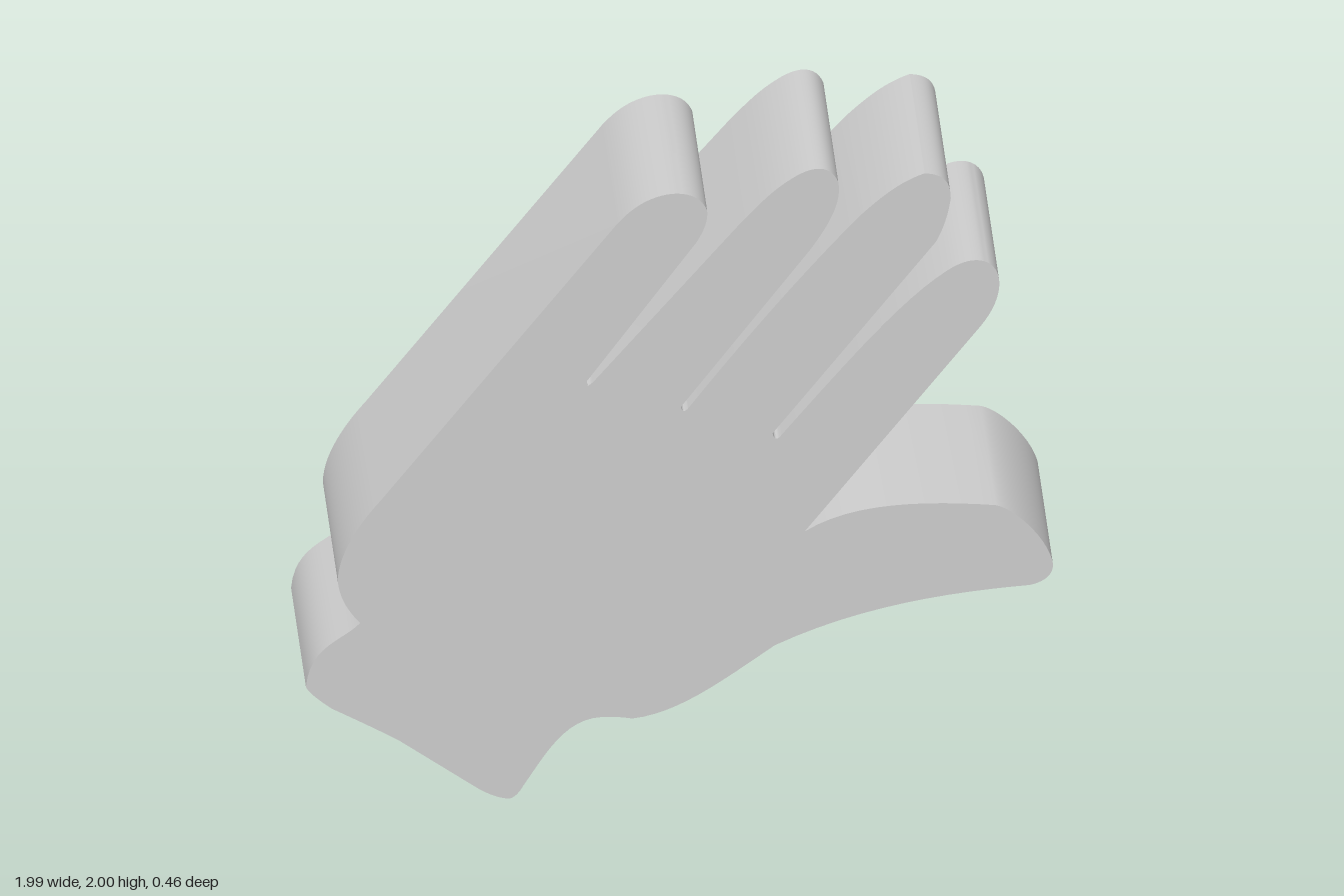
import * as THREE from 'three';
import { toCreasedNormals } from 'three/addons/utils/BufferGeometryUtils.js';

const DEPTH = 0.46;

// Each entry: 2 numbers = straight edge, 4 = quadratic curve, 6 = cubic curve
function trace(start, steps) {
  const shape = new THREE.Shape().moveTo(...start);
  for (const s of steps) {
    if (s.length === 2) shape.lineTo(...s);
    else if (s.length === 4) shape.quadraticCurveTo(...s);
    else shape.bezierCurveTo(...s);
  }
  return shape;
}

export function createModel() {
  const cuffBottom = [
    [-0.44, 0, -0.42, 0.04],
    [-0.36, 0.14, -0.31, 0.25, -0.21, 0.25],
  ];
  const thumb = [
    [-0.17, 0.25, -0.13, 0.24],
    [-0.01, 0.25, 0.1, 0.34, 0.25, 0.455],
    [0.48, 0.57, 0.72, 0.6, 0.93, 0.61],
    [0.98, 0.62, 1.0, 0.65, 0.99, 0.69],
    [0.97, 0.77, 0.89, 0.86, 0.84, 0.875],
    [0.66, 0.9, 0.46, 0.91, 0.33, 0.82],
  ];
  const indexFinger = [
    [0.8, 1.46],
    [0.85, 1.53, 0.86, 1.6, 0.84, 1.64],
    [0.82, 1.68, 0.77, 1.69, 0.71, 1.645],
    [0.59, 1.56, 0.44, 1.36, 0.27, 1.14],
    [0.25, 1.11, 0.245, 1.145],
  ];
  const middleFinger = [
    [0.68, 1.74],
    [0.71, 1.8, 0.72, 1.88],
    [0.72, 1.94, 0.695, 1.96, 0.65, 1.965],
    [0.58, 1.94, 0.53, 1.89, 0.48, 1.84],
    [0.34, 1.68, 0.18, 1.47, 0.02, 1.24],
    [0.005, 1.22, 0.0, 1.245],
  ];
  const ringFinger = [
    [0.345, 1.735],
    [0.4, 1.82, 0.43, 1.89, 0.42, 1.95],
    [0.4, 2.01, 0.35, 2.01, 0.29, 1.965],
    [0.24, 1.93, 0.2, 1.88, 0.165, 1.84],
    [-0.23, 1.345],
    [-0.255, 1.315, -0.25, 1.345],
  ];
  const littleFinger = [
    [0.04, 1.775],
    [0.075, 1.835, 0.07, 1.88],
    [0.05, 1.94, -0.01, 1.945, -0.05, 1.935],
    [-0.11, 1.92, -0.145, 1.88, -0.17, 1.85],
  ];
  const outerPalmAndCuff = [
    [-0.8, 0.99],
    [-0.88, 0.89, -0.915, 0.8, -0.915, 0.735],
    [-0.91, 0.66, -0.855, 0.595],
    [-0.9, 0.54, -0.99, 0.53, -1.0, 0.395],
    [-0.99, 0.37, -0.93, 0.32],
    [-0.8, 0.24, -0.75, 0.205],
    [-0.55, 0.045],
    [-0.5, 0.005, -0.46, 0],
  ];

  const outline = trace([-0.46, 0], [
    ...cuffBottom, ...thumb, ...indexFinger, ...middleFinger,
    ...ringFinger, ...littleFinger, ...outerPalmAndCuff,
  ]);

  // Flat slab with softly shaded rim and sharp face edges
  const geometry = new THREE.ExtrudeGeometry(outline, {
    depth: DEPTH, bevelEnabled: false, curveSegments: 12,
  }).translate(0, 0, -DEPTH / 2);

  const hand = new THREE.Mesh(
    toCreasedNormals(geometry, 0.5),
    new THREE.MeshStandardMaterial({ color: 0xcccccc }),
  );
  hand.name = 'openHand';

  const model = new THREE.Group();
  model.name = 'handModel';
  model.add(hand);
  return model;
}
